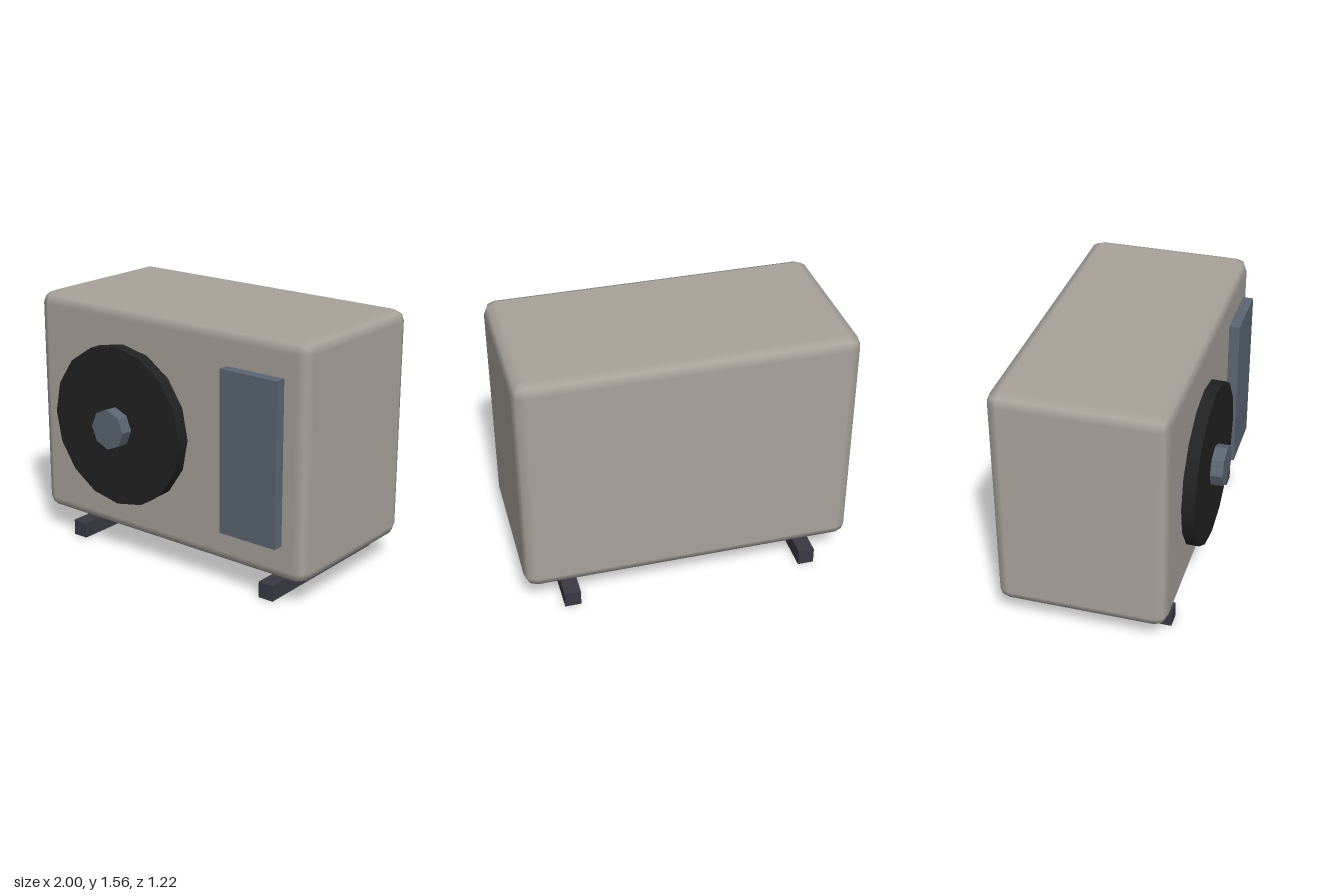
import * as THREE from 'three';
import { RoundedBoxGeometry } from 'three/addons/geometries/RoundedBoxGeometry.js';

export function createModel() {
  const model = new THREE.Group();
  model.name = 'outdoorAirConditioner';

  const material = (name, color, flatShading = false) => {
    const m = new THREE.MeshStandardMaterial({ color, flatShading });
    m.name = name;
    return m;
  };
  const casing = material('warmGreyCasing', 0xa8a29a);
  const black = material('blackFan', 0x222222);
  const slate = material('slateBlue', 0x5b6673, true);
  const dark = material('darkFeet', 0x3a3944);

  const add = (name, geometry, mat, x, y, z) => {
    const mesh = new THREE.Mesh(geometry, mat);
    mesh.name = name;
    mesh.position.set(x, y, z);
    model.add(mesh);
  };
  // Disc whose axis points to the front
  const disc = (radius, depth, sides) =>
    new THREE.CylinderGeometry(radius, radius, depth, sides).rotateX(Math.PI / 2);

  // Casing with softly bevelled edges
  add('casing', new RoundedBoxGeometry(2, 1.41, 1.02, 1, 0.073), casing, 0, 0.855, -0.075);

  // Fan cover and hub, standing slightly proud of the casing
  add('fanCover', disc(0.488, 0.075, 16), black, -0.293, 0.857, 0.4975);
  add('fanHub', disc(0.122, 0.098, 8), slate, -0.293, 0.857, 0.56);

  // Service panel
  add('servicePanel', new THREE.BoxGeometry(0.39, 0.975, 0.08), slate, 0.655, 0.857, 0.46);

  // Mounting rails
  for (const [name, side] of [['leftFoot', 1], ['rightFoot', -1]]) {
    add(name, new THREE.BoxGeometry(0.098, 0.098, 1.025), dark, side * 0.731, 0.049, -0.097);
  }

  return model;
}
